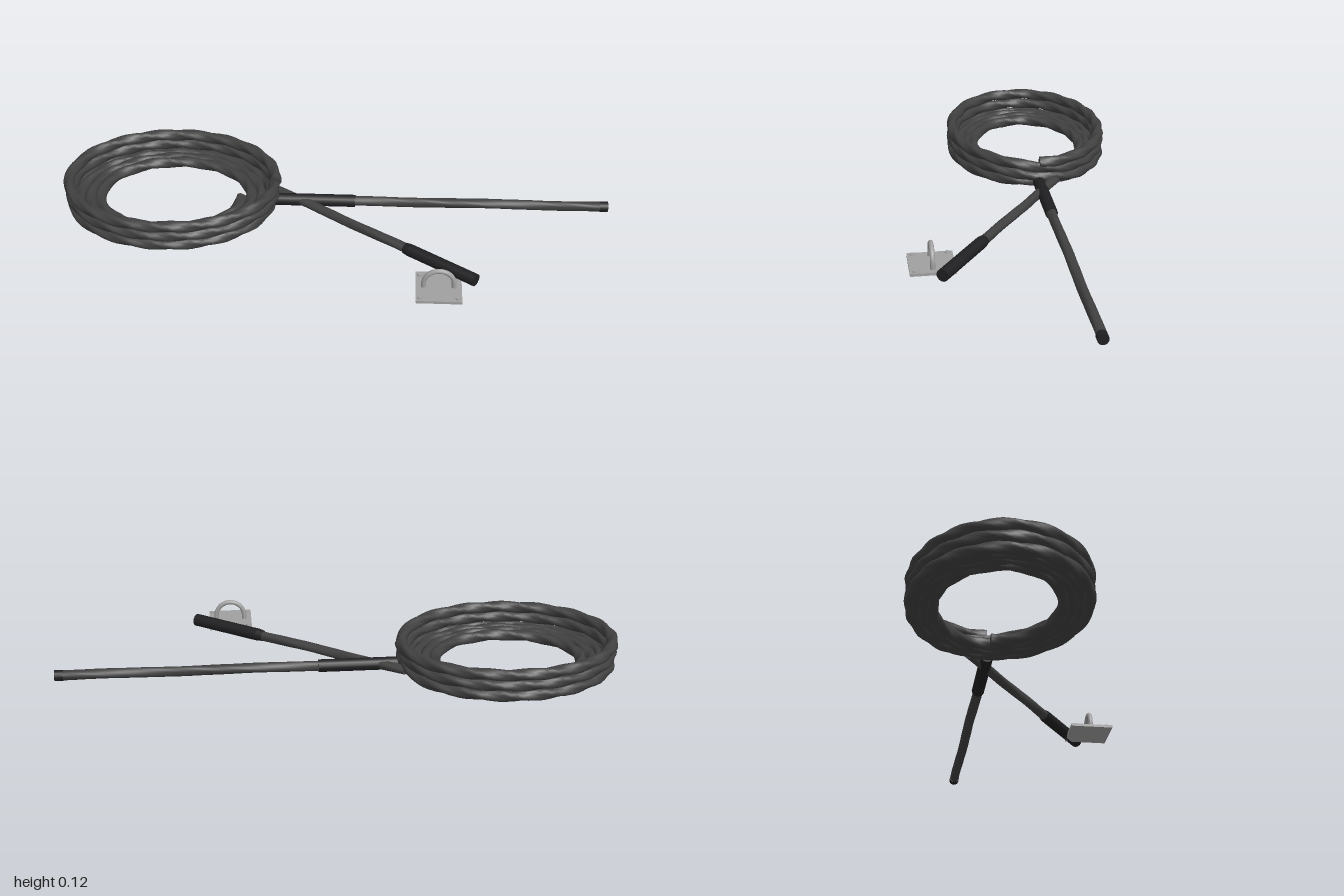
import * as THREE from 'three';

const mat = (name, color) => {
  const m = new THREE.MeshStandardMaterial({ color });
  m.name = name;
  return m;
};

// Sweeps a twisted three-strand cross-section along path(t), t from 0 to 1
function ropeGeometry(path, steps, radius, lobe, lay, sides = 15) {
  const pos = [], idx = [];
  const up = new THREE.Vector3(0, 1, 0);
  let length = 0, last = path(0);
  for (let i = 0; i <= steps; i++) {
    const t = i / steps, p = path(t);
    length += p.distanceTo(last);
    last = p;
    const tan = path(t + 1e-4).sub(path(t - 1e-4)).normalize();
    const side = up.clone().cross(tan).normalize();
    const rise = tan.clone().cross(side);
    for (let j = 0; j < sides; j++) {
      const a = (j / sides) * Math.PI * 2 + (length / lay) * Math.PI * 2;
      const r = radius(t) * (1 + lobe * Math.cos((j / sides) * Math.PI * 6));
      const v = p.clone().addScaledVector(side, r * Math.cos(a)).addScaledVector(rise, r * Math.sin(a));
      pos.push(v.x, v.y, v.z);
    }
  }
  for (let i = 0; i < steps; i++) {
    for (let j = 0; j < sides; j++) {
      const k = (j + 1) % sides;
      const a = i * sides + j, b = i * sides + k, c = a + sides, d = b + sides;
      idx.push(a, b, c, b, d, c);
    }
  }
  // Flat end caps with their own vertices
  for (const end of [0, 1]) {
    const ring = end * steps * sides, base = pos.length / 3;
    for (let j = 0; j < sides; j++) pos.push(...pos.slice((ring + j) * 3, (ring + j) * 3 + 3));
    const c = path(end);
    pos.push(c.x, c.y, c.z);
    for (let j = 0; j < sides; j++) {
      const a = base + j, b = base + (j + 1) % sides;
      idx.push(base + sides, ...(end ? [a, b] : [b, a]));
    }
  }
  const g = new THREE.BufferGeometry();
  g.setAttribute('position', new THREE.Float32BufferAttribute(pos, 3));
  g.setIndex(idx);
  g.computeVertexNormals();
  return g;
}

export function createModel() {
  const model = new THREE.Group();
  model.name = 'coiledRopeSet';
  const rope = mat('charcoal rope', 0x404040);
  const sleeveMat = mat('black sleeve', 0x202022);
  const steel = mat('grey steel', 0xa0a0a0);

  const add = (name, geo, material, parent = model) => {
    const m = new THREE.Mesh(geo, material);
    m.name = name;
    parent.add(m);
    return m;
  };
  const V = (x, y, z) => new THREE.Vector3(x, y, z);
  const line = (a, b) => t => a.clone().lerp(b, t);
  const rod = (name, a, b, r0, r1, material) => {
    const m = add(name, new THREE.CylinderGeometry(r1, r0, a.distanceTo(b), 16), material);
    m.position.copy(a).lerp(b, 0.5);
    m.quaternion.setFromUnitVectors(V(0, 1, 0), b.clone().sub(a).normalize());
    return m;
  };

  // Coil: flat spiral on the ground, then two more outer turns stacked on top
  const coilPath = t => {
    const turn = t * 6, a = turn * Math.PI * 2;
    const grow = Math.min(turn / 3.25, 1);
    const rx = 0.25 + 0.119 * grow + 0.004 * Math.max(turn - 4, 0);
    const rz = 0.195 + 0.09 * grow;
    const y = 0.028 + 0.039 * THREE.MathUtils.smoothstep(turn, 3.88, 4.12)
      + 0.038 * THREE.MathUtils.smoothstep(turn, 4.88, 5.12);
    return V(-0.588 + rx * Math.cos(a), y, -0.117 + rz * Math.sin(a));
  };
  add('ropeCoil', ropeGeometry(coilPath, 720, () => 0.0195, 0.13, 0.4), rope);

  // Straight rope end with sleeve and end cap
  const z = -0.115;
  add('straightRope', ropeGeometry(line(V(-0.22, 0.028, z), V(0.985, 0.03, z - 0.002)), 60,
    () => 0.0175, 0.08, 1.6), rope);
  rod('straightSleeve', V(-0.215, 0.028, z), V(0.08, 0.028, z), 0.0225, 0.0225, sleeveMat);
  rod('straightEndCap', V(0.97, 0.03, z - 0.002), V(1, 0.03, z - 0.002), 0.019, 0.019, sleeveMat);

  // Slanting rope end with sleeve and grip
  const start = V(-0.22, 0.028, -0.178), end = V(0.507, 0.028, 0.318);
  const along = line(start, end);
  add('slantingRope', ropeGeometry(line(start, along(0.9)), 50, t => 0.0165 + 0.001 * t, 0.08, 1.2), rope);
  rod('gripCollar', along(0.665), along(0.69), 0.0195, 0.0225, sleeveMat);
  rod('grip', along(0.69), end, 0.0225, 0.0225, sleeveMat);

  // Anchor plate with loop and four bolts
  const anchor = new THREE.Group();
  anchor.name = 'anchorPlate';
  anchor.position.set(0.38, 0.006, 0.343);
  model.add(anchor);
  add('plate', new THREE.BoxGeometry(0.158, 0.01, 0.156), steel, anchor).position.y = 0.005;

  const loop = new THREE.CurvePath();
  const arc = [];
  for (let i = 0; i <= 12; i++) {
    const a = Math.PI * (1 - i / 12);
    arc.push(V(0.052 * Math.cos(a), 0.026 + 0.052 * Math.sin(a), 0));
  }
  loop.add(new THREE.CatmullRomCurve3([V(-0.052, 0.005, 0), ...arc, V(0.052, 0.005, 0)]));
  add('anchorLoop', new THREE.TubeGeometry(loop, 40, 0.0085, 12), steel, anchor);

  for (const sx of [-1, 1]) {
    for (const sz of [-1, 1]) {
      add('bolt', new THREE.CylinderGeometry(0.008, 0.009, 0.005, 12), steel, anchor)
        .position.set(sx * 0.065, 0.0125, sz * 0.06);
    }
  }
  return model;
}
